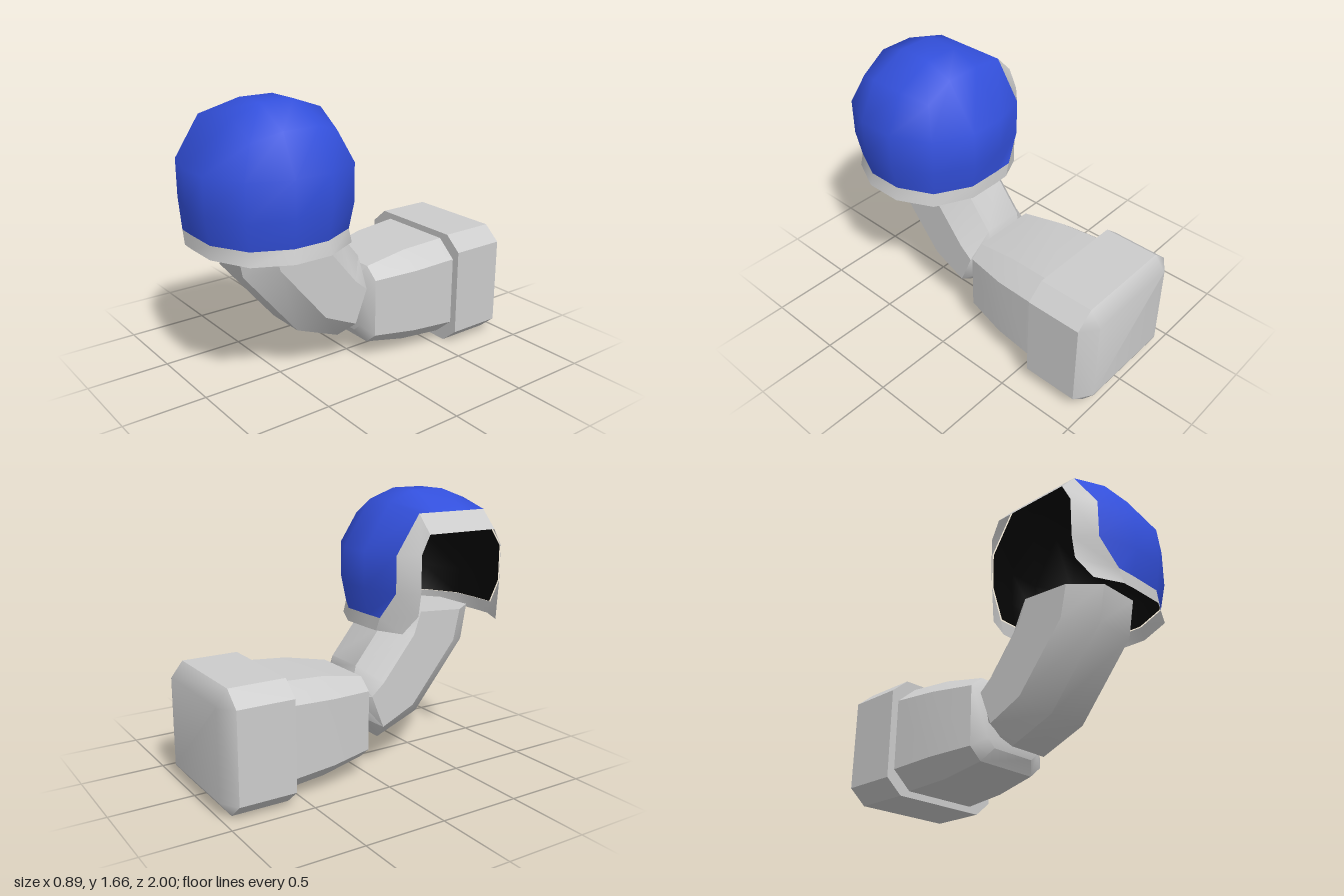
import * as THREE from 'three';
import { mergeVertices, toCreasedNormals } from 'three/addons/utils/BufferGeometryUtils.js';

const V = (x, y, z) => new THREE.Vector3(x, y, z);
const ARM_X = -0.037;   // arm axis
const SHELL_Z = 0.537;  // shoulder shell centre

// Joins rows of points into a skin; closed wraps each row round, caps fill first and last row
function loft(rows, { closed = true, capStart = false, capEnd = false, extra = [] } = {}) {
  const pos = [];
  const tri = (...pts) => pts.forEach(p => pos.push(p.x, p.y, p.z));
  const quad = (a, b, c, d) => { tri(a, b, c); tri(a, c, d); };
  const n = rows[0].length;
  for (let r = 0; r < rows.length - 1; r++) {
    const a = rows[r], b = rows[r + 1];
    for (let i = 0; i < (closed ? n : n - 1); i++) {
      const j = (i + 1) % n;
      quad(a[i], a[j], b[j], b[i]);
    }
  }
  for (let i = 1; i < n - 1; i++) {
    const s = rows[0], e = rows[rows.length - 1];
    if (capStart) tri(s[0], s[i + 1], s[i]);
    if (capEnd) tri(e[0], e[i], e[i + 1]);
  }
  extra.forEach(q => quad(...q));
  const g = new THREE.BufferGeometry();
  g.setAttribute('position', new THREE.Float32BufferAttribute(pos, 3));
  return g;
}

const creased = g => toCreasedNormals(g, 0.62);
function smooth(g) {
  const m = mergeVertices(g);
  m.computeVertexNormals();
  return m;
}

// Chamfered rectangle: half sizes w, h and half lengths of the flats fw, fh
const octagon = (w, h, fw, fh) => [
  [w, -fh], [w, fh], [fw, h], [-fw, h], [-w, fh], [-w, -fh], [-fw, -h], [fw, -h],
];

// Forearm section across z
const boxRing = ([z, w, h, fw, fh]) =>
  octagon(w, h, fw, fh).map(([x, y]) => V(ARM_X + x, 0.36 + y, z));

// Upper arm section spanning from front edge f to back edge b, each [z, y]
function limbRing([f, b, w = 0.257, fw = 0.13]) {
  return octagon(w, 0.5, fw, 0.24).map(([x, t]) => V(
    ARM_X + x,
    THREE.MathUtils.lerp(f[1], b[1], t + 0.5),
    THREE.MathUtils.lerp(f[0], b[0], t + 0.5),
  ));
}

// Half row [x, y, z] on the front side, mirrored to the back
const mirrored = half => [
  ...half.map(([x, y, z]) => V(x, y, SHELL_Z + z)),
  ...half.slice().reverse().map(([x, y, z]) => V(x, y, SHELL_Z - z)),
];
const level = (y, pts) => mirrored(pts.map(([x, z]) => [x, y, z]));

export function createModel() {
  const model = new THREE.Group();
  const grey = new THREE.MeshStandardMaterial({ color: 0xcccccc });
  const greyThin = new THREE.MeshStandardMaterial({ color: 0xcccccc, side: THREE.DoubleSide });
  const blue = new THREE.MeshStandardMaterial({ color: 0x3350dc });
  const black = new THREE.MeshStandardMaterial({ color: 0x050505, side: THREE.DoubleSide });
  const add = (name, geometry, material) => {
    const mesh = new THREE.Mesh(geometry, material);
    mesh.name = name;
    model.add(mesh);
    return mesh;
  };

  // Cuff at the back, with a softly bevelled end
  const cuffBack = boxRing([-0.93, 0.412, 0.36, 0.307, 0.27]);
  const cuffFront = boxRing([-0.585, 0.412, 0.36, 0.307, 0.27]);
  add('cuff', creased(loft([cuffBack, cuffFront], { capEnd: true })), grey);
  const cuffEnd = boxRing([-1, 0.312, 0.27, 0.307, 0.265]);
  add('cuffEnd', smooth(loft([cuffEnd, cuffBack], { capStart: true })), grey);

  // Tapering forearm
  add('forearm', creased(loft([
    [-0.6, 0.367, 0.322, 0.245, 0.215],
    [-0.3, 0.345, 0.302, 0.225, 0.198],
    [-0.03, 0.287, 0.25, 0.205, 0.18],
    [0.025, 0.205, 0.175, 0.15, 0.125],
  ].map(boxRing), { capEnd: true })), grey);

  // Bent upper arm, from the elbow up into the shell
  add('upperArm', creased(loft([
    [[0.0, 0.28], [-0.06, 0.54], 0.17, 0.1],
    [[0.14, 0.175], [-0.03, 0.6]],
    [[0.43, 0.29], [-0.02, 0.655]],
    [[0.78, 0.71], [0.15, 0.865]],
    [[0.82, 0.93], [0.2, 0.97]],
  ].map(limbRing), { capStart: true, capEnd: true })), grey);

  // Rounded shoulder shell, open below and on one side
  const belly = [[-0.34, 0.395], [-0.11, 0.463], [0.105, 0.463], [0.33, 0.345], [0.443, 0.115]];
  const hem = [[-0.23, 0.43], [-0.11, 0.435], [0.1, 0.435], [0.31, 0.32], [0.41, 0.11]];
  const crown = mirrored([
    [-0.34, 1.55, 0.1], [-0.11, 1.662, 0.105],
    [0.105, 1.662, 0.105], [0.105, 1.662, 0.105], [0.105, 1.662, 0.105],
  ]);
  const brow = mirrored([
    [-0.34, 1.55, 0.24], [-0.11, 1.6, 0.28], [0.105, 1.6, 0.28], [0.27, 1.5, 0.27], [0.33, 1.55, 0.11],
  ]);
  const shell = smooth(loft(
    [level(0.94, hem), level(1.1, belly), level(1.32, belly), brow, crown],
    { closed: false, extra: [0, 1].map(j => [crown[j], crown[j + 1], crown[8 - j], crown[9 - j]]) },
  ));
  add('shoulderShell', shell, blue);

  // Dark lining just inside the shell
  const lining = shell.clone().translate(0, -1.2, -SHELL_Z).scale(0.985, 0.985, 0.985)
    .translate(0, 1.2, SHELL_Z);
  add('shellLining', lining, black);

  // Rim along the bottom of the shell
  const foot = [[-0.2, 0.435], [-0.11, 0.44], [0.1, 0.44], [0.325, 0.33], [0.43, 0.115]];
  add('bottomRim', smooth(loft([level(0.86, foot), level(0.94, hem)], { closed: false })), greyThin);

  // Arched rim around the side opening
  const archOuter = mirrored([
    [-0.2, 0.86, 0.435], [-0.23, 0.94, 0.43], [-0.34, 1.1, 0.395], [-0.34, 1.32, 0.395], [-0.34, 1.55, 0.24],
  ]);
  const archInner = mirrored([
    [-0.36, 0.86, 0.36], [-0.43, 0.97, 0.3], [-0.445, 1.1, 0.295], [-0.445, 1.33, 0.295], [-0.445, 1.44, 0.24],
  ]);
  add('sideRim', creased(loft([archOuter, archInner], { closed: false })), greyThin);

  return model;
}
